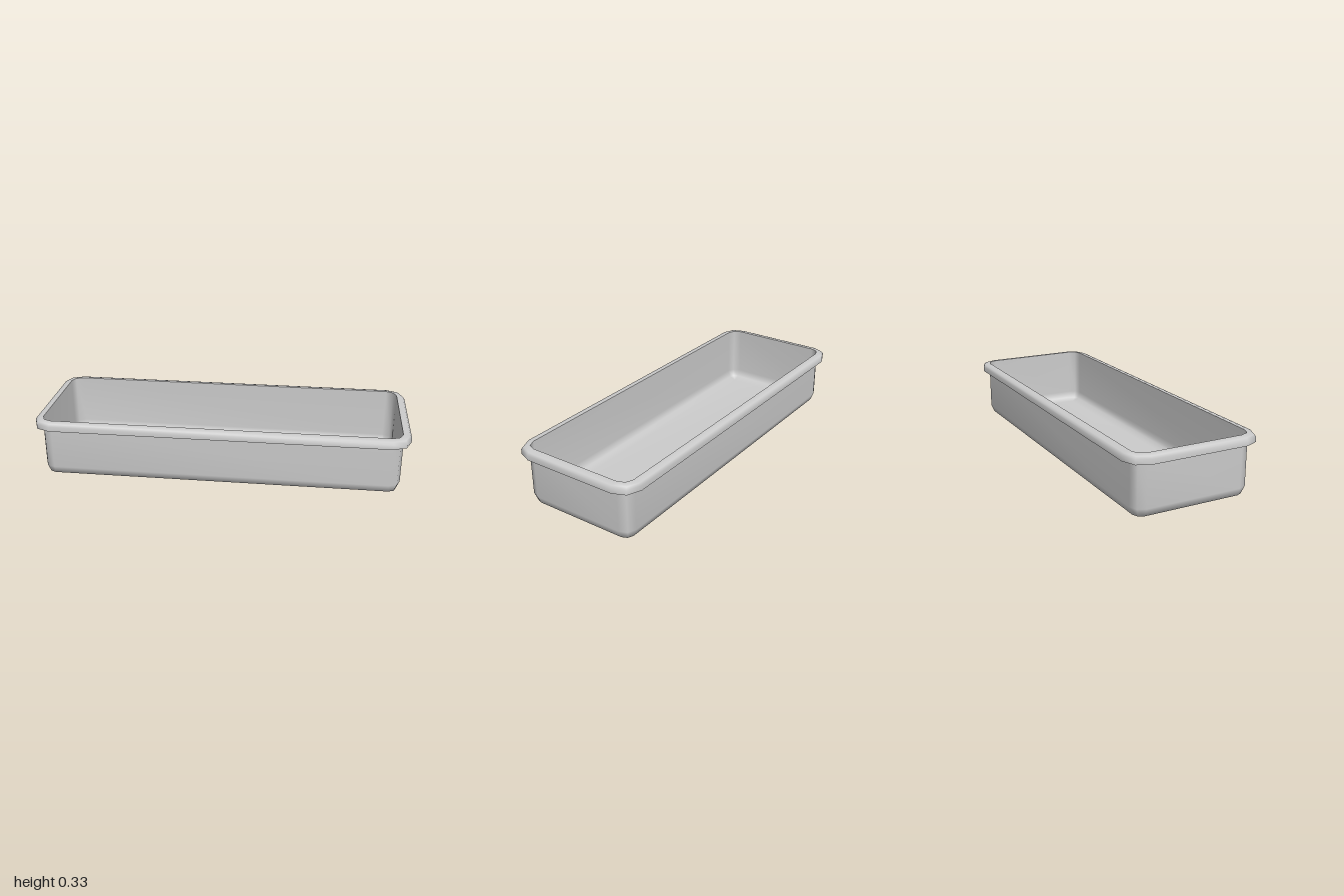
import * as THREE from 'three';
import { mergeVertices } from 'three/addons/utils/BufferGeometryUtils.js';

const HALF_X = 0.96, HALF_Z = 0.32, CORNER = 0.06, STEPS = 2;

// Rounded rectangle at height y, grown outwards by o (corner radius grows too)
function ring(o, y) {
  const r = Math.max(0, CORNER + o);
  const cx = HALF_X + o - r, cz = HALF_Z + o - r;
  const signs = [[1, 1], [-1, 1], [-1, -1], [1, -1]];
  const points = [];
  signs.forEach(([sx, sz], q) => {
    for (let k = 0; k <= STEPS; k++) {
      const a = (q + k / STEPS) * Math.PI / 2;
      points.push([sx * cx + r * Math.cos(a), y, sz * cz + r * Math.sin(a)]);
    }
  });
  return points;
}

// Skin a run of [offset, height] profile points; each strip is smooth in itself
function strip(profile) {
  const rings = profile.map(([o, y]) => ring(o, y));
  const n = rings[0].length, index = [];
  for (let i = 0; i < rings.length - 1; i++) {
    for (let j = 0; j < n; j++) {
      const a = i * n + j, b = i * n + (j + 1) % n;
      index.push(a, a + n, b + n, a, b + n, b);
    }
  }
  let geo = new THREE.BufferGeometry();
  geo.setAttribute('position', new THREE.Float32BufferAttribute(rings.flat(2), 3));
  geo.setIndex(index);
  geo = mergeVertices(geo, 1e-5);
  geo.computeVertexNormals();
  return geo;
}

export function createModel() {
  const group = new THREE.Group();
  const material = new THREE.MeshStandardMaterial({ color: 0xcccccc, side: THREE.DoubleSide });
  const parts = {
    // Floor underside, rounded bottom edge and outer walls
    outerShell: [[-0.32, 0], [-0.06, 0], [-0.0176, 0.0176], [0, 0.06], [0, 0.323]],
    // Hollow channel beneath the overhanging rim
    rimUnderside: [[0, 0.323], [0.026, 0.32], [0.035, 0.31], [0.035, 0.29]],
    rimEdge: [[0.035, 0.29], [0.04, 0.29]],
    // Rolled top of the rim
    rim: [[0.04, 0.29], [0.04, 0.316], [0.03, 0.328], [0.012, 0.333], [-0.005, 0.333]],
    // Inner walls, fillet and floor
    innerShell: [[-0.005, 0.333], [-0.005, 0.06], [-0.021, 0.021], [-0.06, 0.005], [-0.32, 0.005]],
  };
  for (const [name, profile] of Object.entries(parts)) {
    const mesh = new THREE.Mesh(strip(profile), material);
    mesh.name = name;
    group.add(mesh);
  }
  group.name = 'tray';
  return group;
}
